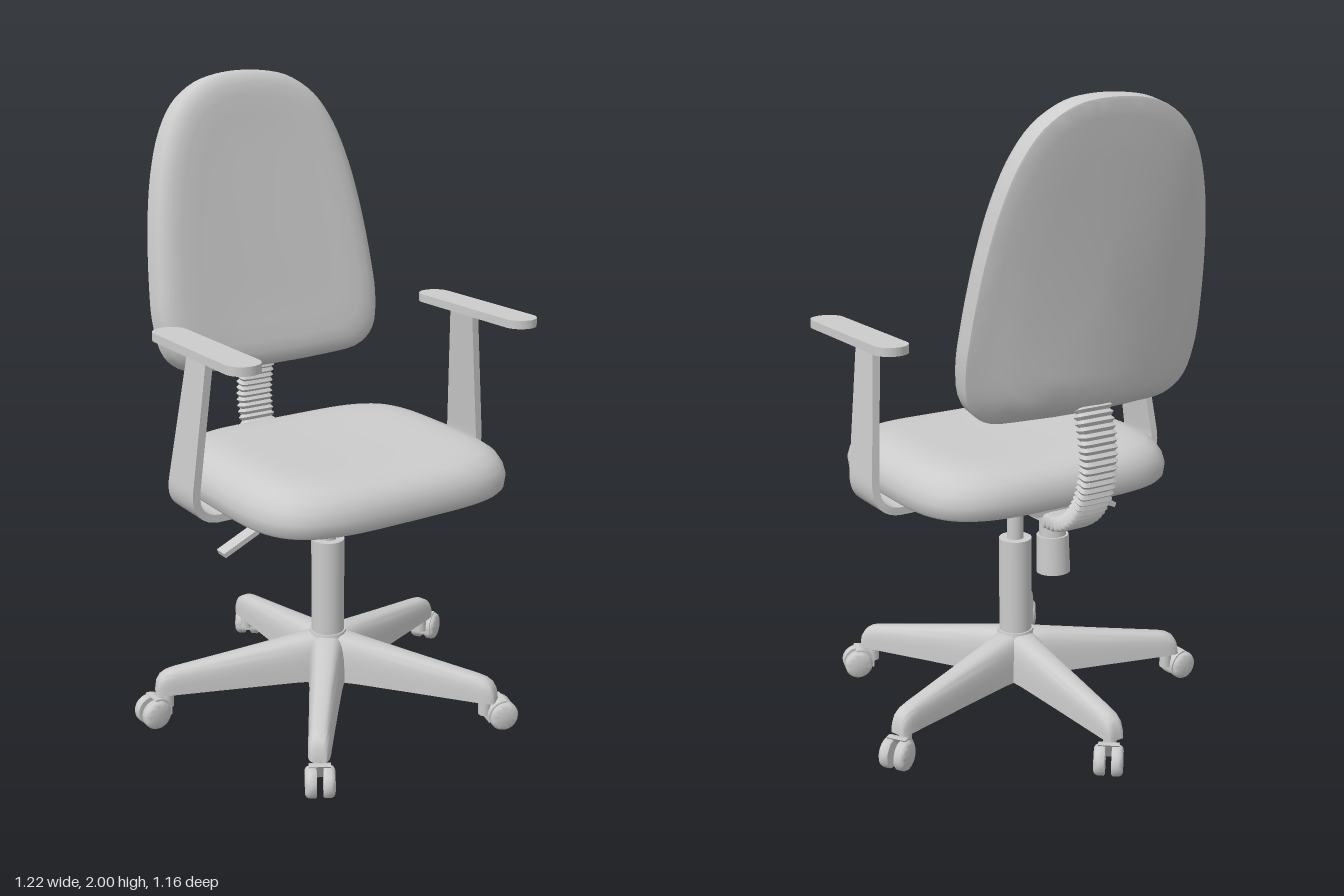
import * as THREE from 'three';
import { toCreasedNormals } from 'three/addons/utils/BufferGeometryUtils.js';

const material = new THREE.MeshStandardMaterial({ color: 0xcccccc });
const V = (x, y, z) => new THREE.Vector3(x, y, z);

function add(parent, name, geometry, x = 0, y = 0, z = 0) {
  const mesh = new THREE.Mesh(geometry, material);
  mesh.name = name;
  mesh.position.set(x, y, z);
  parent.add(mesh);
  return mesh;
}

// Skins a list of closed rings, closes both ends and turns all faces outward
function loft(rings, crease = 0.6) {
  const n = rings[0].length;
  const collapse = (ring) => {
    const c = ring.reduce((s, p) => s.add(p), V(0, 0, 0)).divideScalar(n);
    return ring.map(() => c);
  };
  const all = [collapse(rings[0]), ...rings, collapse(rings[rings.length - 1])];
  const tris = [];
  for (let k = 0; k + 1 < all.length; k++) {
    for (let i = 0; i < n; i++) {
      const j = (i + 1) % n;
      const a = all[k][i], b = all[k][j], c = all[k + 1][j], d = all[k + 1][i];
      if (k > 0) tris.push([a, b, c]);
      if (k === 0) tris.push([a, c, d]);
      else if (k < all.length - 2) tris.push([a, c, d]);
    }
  }
  const volume = tris.reduce((s, [a, b, c]) => s + a.dot(b.clone().cross(c)), 0);
  const points = tris.flatMap(([a, b, c]) => (volume < 0 ? [a, c, b] : [a, b, c]));
  const geometry = new THREE.BufferGeometry().setFromPoints(points);
  return toCreasedNormals(geometry, crease);
}

// Rounded rectangle points as a superellipse
function superellipse(a, b, power, count) {
  return Array.from({ length: count }, (_, i) => {
    const t = (i / count) * Math.PI * 2, c = Math.cos(t), s = Math.sin(t);
    return [a * Math.sign(c) * Math.abs(c) ** (2 / power), b * Math.sign(s) * Math.abs(s) ** (2 / power)];
  });
}

function seat() {
  // inset from the outline, height
  const profile = [[0.4, 0.78], [0.012, 0.78], [0.004, 0.79], [0, 0.825], [0.008, 0.855], [0.025, 0.883],
    [0.055, 0.905], [0.1, 0.919], [0.16, 0.925], [0.25, 0.925], [0.35, 0.925], [0.4, 0.925]];
  return loft(profile.map(([d, y]) =>
    superellipse(0.452 - d, 0.408 - d, 4, 72).map(([x, z]) => {
      const sag = y > 0.88 ? 0.012 * Math.max(0, 1 - (x / 0.36) ** 2) * Math.min(1, d / 0.1) : 0;
      return V(x, y - sag, z + 0.102);
    })), 0.7);
}

function backrest() {
  const half = [[0.2, 0], [0.32, 0.015], [0.38, 0.065], [0.404, 0.17], [0.4, 0.3], [0.377, 0.5],
    [0.345, 0.65], [0.3, 0.77], [0.24, 0.855], [0.15, 0.913], [0.06, 0.932]];
  const loop = [...half, ...half.map(([x, u]) => [-x, u]).reverse()];
  const outline = new THREE.CatmullRomCurve3(loop.map(([x, u]) => V(x, u, 0)), true).getPoints(80).slice(0, 80);
  // inset, depth across the tilted slab, share of the rear bulge
  const profile = [[0.38, 0.1, 0], [0.25, 0.1, 0], [0.14, 0.1, 0], [0.08, 0.099, 0], [0.045, 0.094, 0],
    [0.018, 0.083, 0], [0.004, 0.068, 0], [0, 0.05, 0], [0, 0.003, 0], [0.006, 0, 0.1], [0.05, 0, 0.75],
    [0.09, 0, 1], [0.16, 0, 1], [0.25, 0, 1], [0.38, 0, 1]];
  return loft(profile.map(([d, w, bulge]) => outline.map((p) => {
    const x = p.x * (1 - d / 0.4), u = 0.46 + (p.y - 0.46) * (1 - d / 0.46);
    const across = Math.max(0, 1 - (x / 0.4) ** 2);
    const dip = w > 0.09 ? 0.01 * across * Math.min(1, d / 0.14) : 0;
    const depth = w - dip - bulge * 0.1 * across * Math.max(0, 1 - u / 0.95);
    return V(x, 1.075 + 0.98 * u + 0.2 * depth, -0.31 - 0.2 * u + 0.98 * depth);
  })), 0.7);
}

// Ribbed sleeve around the back support
function bellows() {
  const curve = new THREE.CatmullRomCurve3([V(0, 0.712, -0.2), V(0, 0.72, -0.27), V(0, 0.76, -0.335),
    V(0, 0.83, -0.385), V(0, 0.93, -0.41), V(0, 1.03, -0.4), V(0, 1.15, -0.36)]);
  const steps = 56, rings = [];
  for (let i = 0; i <= steps; i++) {
    const p = curve.getPointAt(i / steps), t = curve.getTangentAt(i / steps);
    const rib = i % 2;
    rings.push(superellipse(rib ? 0.062 : 0.054, rib ? 0.026 : 0.018, 5, 24)
      .map(([x, n]) => V(x, p.y - n * t.z, p.z + n * t.y)));
  }
  return loft(rings, 0.5);
}

// Flat bent bar: slanted upright, curved elbow and foot under the seat
function armBar(side) {
  const path = new THREE.CurvePath();
  path.add(new THREE.LineCurve3(V(0.476, 1.27, 0), V(0.521, 0.86, 0)));
  path.add(new THREE.CubicBezierCurve3(V(0.521, 0.86, 0), V(0.527, 0.8, 0), V(0.5, 0.764, 0), V(0.44, 0.764, 0)));
  path.add(new THREE.LineCurve3(V(0.44, 0.764, 0), V(0.245, 0.764, 0)));
  const rings = [];
  for (let i = 0; i <= 48; i++) {
    const p = path.getPointAt(i / 48), t = path.getTangentAt(i / 48);
    const k = Math.min(1, (1.27 - p.y) / 0.5);
    const round = p.x < 0.3 ? 0.03 * ((0.3 - p.x) / 0.055) ** 2 : 0;
    const front = 0.16 - 0.02 * k - round, back = 0.05 - 0.07 * k + round;
    rings.push([[1, front], [1, back], [-1, back], [-1, front]].map(([s, z]) =>
      V(side * (p.x - s * t.y * 0.012), p.y + s * t.x * 0.012, z)));
  }
  return loft(rings, 0.5);
}

function armPad() {
  const r = 0.053, a = 0.209;
  const shape = new THREE.Shape();
  shape.absarc(0, a, r, 0, Math.PI, false);
  shape.absarc(0, -a, r, Math.PI, Math.PI * 2, false);
  return new THREE.ExtrudeGeometry(shape, { depth: 0.026, bevelEnabled: false, curveSegments: 16 }).rotateX(-Math.PI / 2);
}

// Star base leg with a flat underside, pointing along +z
function baseLeg() {
  // distance, half width, top height
  const stations = [[0, 0.06, 0.25], [0.06, 0.06, 0.248], [0.12, 0.053, 0.239], [0.3, 0.044, 0.211], [0.5, 0.035, 0.181],
    [0.53, 0.034, 0.174], [0.55, 0.031, 0.162], [0.562, 0.026, 0.143], [0.567, 0.022, 0.105]];
  return loft(stations.map(([r, w, top]) => Array.from({ length: 17 }, (_, i) => {
    const t = (i / 16) * Math.PI, c = Math.cos(t);
    return V(w * Math.sign(c) * Math.abs(c) ** 0.6, 0.1 + (top - 0.1) * Math.abs(Math.sin(t)) ** 0.6, r);
  })), 0.8);
}

function caster() {
  const group = new THREE.Group();
  group.name = 'caster';
  add(group, 'casterStem', new THREE.CylinderGeometry(0.02, 0.02, 0.08, 16), 0, 0.09, 0);
  const profile = [[0, -0.017], [0.036, -0.017], [0.043, -0.013], [0.047, -0.005], [0.047, 0.013], [0.044, 0.017], [0, 0.017]]
    .map(([r, y]) => new THREE.Vector2(r, y));
  for (const s of [-1, 1]) {
    const wheel = toCreasedNormals(new THREE.LatheGeometry(profile, 28), 0.7).rotateZ(s * Math.PI / 2);
    add(group, 'casterWheel', wheel, s * 0.027, 0.047, 0.055);
  }
  const hood = new THREE.Shape();
  hood.moveTo(0, 0);
  hood.absarc(0, 0, 0.053, Math.PI * 0.45, Math.PI * 1.1, false);
  const geometry = new THREE.ExtrudeGeometry(hood, { depth: 0.064, bevelEnabled: false, curveSegments: 14 });
  add(group, 'casterHood', toCreasedNormals(geometry.rotateY(-Math.PI / 2), 0.5), 0.032, 0.047, 0.055);
  return group;
}

export function createModel() {
  const model = new THREE.Group();
  model.name = 'officeChair';
  add(model, 'seatCushion', seat());
  add(model, 'backrest', backrest());
  add(model, 'backSupportBellows', bellows());

  for (const side of [-1, 1]) {
    add(model, 'armrestBar', armBar(side));
    add(model, 'armrestPad', armPad(), side * 0.487, 1.266, 0.149);
  }

  // Base with five legs; each caster swivels its own way
  const cz = 0.04;
  add(model, 'baseHub', new THREE.CylinderGeometry(0.058, 0.085, 0.155, 32), 0, 0.1775, cz);
  const swivels = [[0.045, -0.055], [-0.066, 0.004], [-0.03, 0.05], [0.07, 0.02], [0.066, -0.045]];
  swivels.forEach(([dx, dz], i) => {
    const angle = Math.PI + (i * Math.PI * 2) / 5;
    add(model, 'baseLeg', baseLeg(), 0, 0, cz).rotation.y = angle;
    const wheelSet = caster();
    wheelSet.position.set(Math.sin(angle) * 0.53, 0, cz + Math.cos(angle) * 0.53);
    wheelSet.rotation.y = Math.atan2(dx, dz);
    model.add(wheelSet);
  });

  // Gas lift
  add(model, 'liftSleeve', new THREE.CylinderGeometry(0.053, 0.053, 0.33, 32), 0, 0.405, cz);
  add(model, 'liftPiston', new THREE.CylinderGeometry(0.027, 0.027, 0.17, 24), 0, 0.645, cz);
  add(model, 'liftCollar', new THREE.CylinderGeometry(0.048, 0.042, 0.03, 24), 0, 0.715, cz);

  // Tilt mechanism below the seat
  const rect = (x, y, z0, z1) => [V(x, y, z0), V(x, y, z1), V(-x, y, z1), V(-x, y, z0)];
  add(model, 'mechanismHousing', loft([rect(0.165, 0.785, 0.23, -0.2), rect(0.16, 0.768, 0.22, -0.21),
    rect(0.08, 0.727, 0.12, -0.21)], 0.3));
  add(model, 'supportBracket', new THREE.BoxGeometry(0.09, 0.022, 0.2), 0, 0.71, -0.14);
  add(model, 'bracketPin', new THREE.CylinderGeometry(0.018, 0.018, 0.11, 16).rotateZ(Math.PI / 2), 0, 0.71, -0.055);

  // Tension knob
  const knob = new THREE.Group();
  knob.name = 'tensionKnob';
  add(knob, 'knobGrip', new THREE.CylinderGeometry(0.05, 0.053, 0.12, 28), 0, 0.06, 0);
  add(knob, 'knobNeck', new THREE.CylinderGeometry(0.042, 0.042, 0.06, 28), 0, 0.145, 0);
  knob.position.set(0, 0.53, -0.18);
  knob.rotation.x = 0.04;
  model.add(knob);

  // Height lever
  const lever = new THREE.Group();
  lever.name = 'heightLever';
  add(lever, 'leverRod', new THREE.CylinderGeometry(0.008, 0.008, 0.28, 12).rotateZ(Math.PI / 2), -0.14, 0, 0);
  add(lever, 'leverPaddle', new THREE.BoxGeometry(0.13, 0.016, 0.045), -0.3, 0, 0);
  lever.position.set(-0.06, 0.757, 0.05);
  lever.rotation.z = 0.42;
  model.add(lever);
  return model;
}
